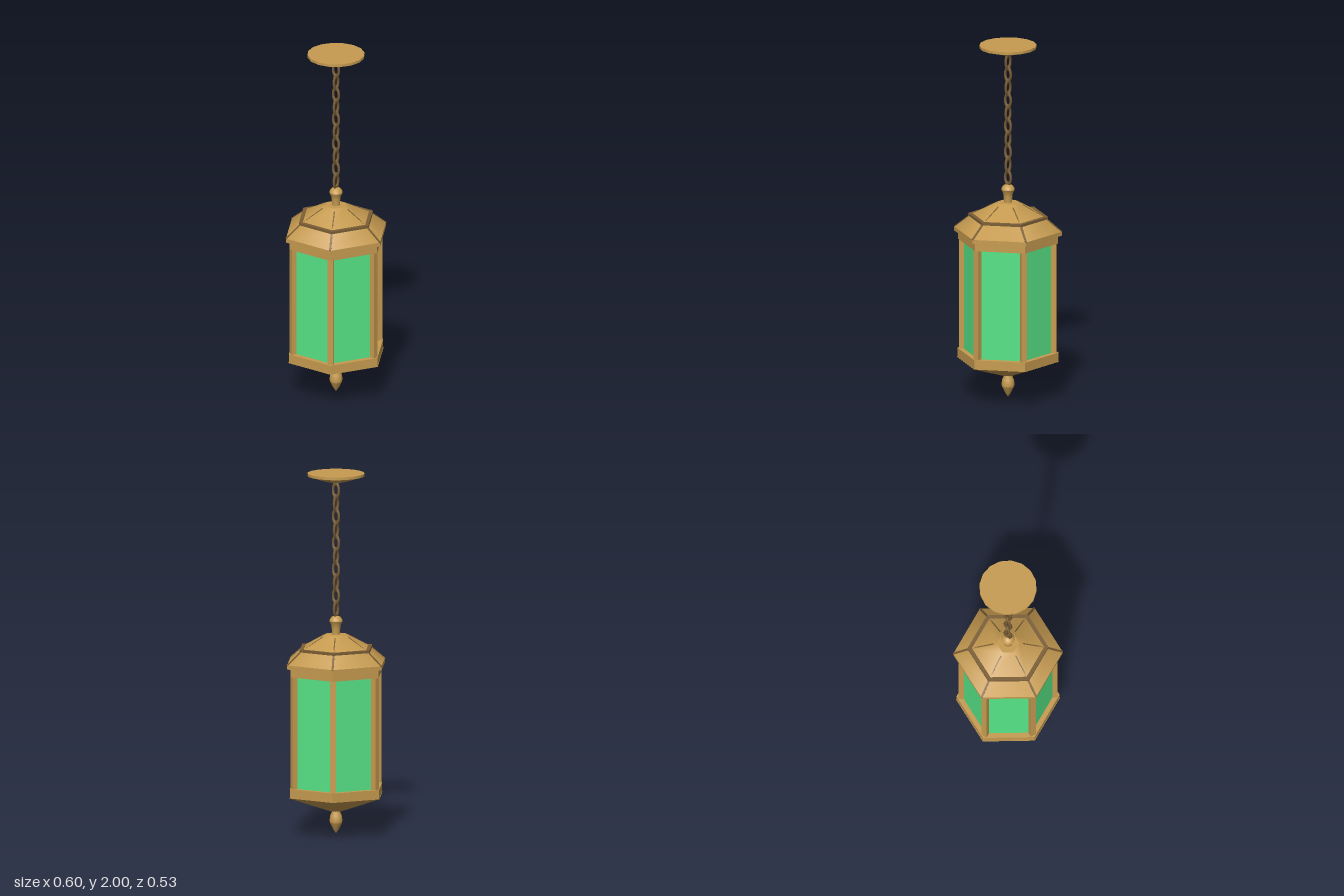
import * as THREE from 'three';

const brass = new THREE.MeshStandardMaterial({ color: 0xc69b50 });
brass.name = 'brass';
const bronze = new THREE.MeshStandardMaterial({ color: 0x7b5e35 });
bronze.name = 'darkBronze';
const glass = new THREE.MeshStandardMaterial({ color: 0x57e587 });
glass.name = 'greenGlass';

function add(parent, name, geometry, material) {
  const mesh = new THREE.Mesh(geometry, material);
  mesh.name = name;
  parent.add(mesh);
  return mesh;
}

// Six-sided frustum with corners on the x axis; flat or smooth sides
function hex(y0, r0, y1, r1, smooth = false) {
  let g = new THREE.CylinderGeometry(r1, r0, y1 - y0, 6);
  g.rotateY(Math.PI / 6).translate(0, (y0 + y1) / 2, 0);
  if (!smooth) {
    g = g.toNonIndexed();
    g.computeVertexNormals();
  }
  return g;
}

function lathe(points, segments = 16) {
  return new THREE.LatheGeometry(points.map(([r, y]) => new THREE.Vector2(r, y)), segments);
}

// Bar running up a roof corner from (r0, y0) to (r1, y1)
function ridge(r0, y0, r1, y1, width, height) {
  const g = new THREE.BoxGeometry(Math.hypot(r1 - r0, y1 - y0), height, width);
  g.rotateZ(Math.atan2(y1 - y0, r1 - r0));
  return g.translate((r0 + r1) / 2, (y0 + y1) / 2, 0);
}

export function createModel() {
  const lantern = new THREE.Group();
  lantern.name = 'hangingLantern';

  // Base
  add(lantern, 'finialTip', lathe([[0, 0], [0.018, 0.026], [0.034, 0.06]]), brass);
  add(lantern, 'finialBulb', lathe([[0.034, 0.06], [0.036, 0.075], [0.032, 0.1], [0.022, 0.122],
    [0.022, 0.14]]), brass);
  add(lantern, 'bottomBowl', hex(0.125, 0.035, 0.213, 0.285, true), brass);
  add(lantern, 'bottomBand', hex(0.213, 0.283, 0.265, 0.283), brass);

  // Glass body
  add(lantern, 'glassPanels', hex(0.26, 0.252, 0.89, 0.252), glass);

  // Roof
  add(lantern, 'topBand', hex(0.885, 0.28, 0.932, 0.28), brass);
  add(lantern, 'eave', hex(0.93, 0.3, 0.953, 0.3), brass);
  add(lantern, 'lowerRoof', hex(0.953, 0.3, 1.022, 0.215, true), brass);
  add(lantern, 'roofTrim', hex(1.02, 0.222, 1.034, 0.222), bronze);
  add(lantern, 'upperRoof', hex(1.034, 0.198, 1.106, 0.062, true), brass);

  // Corner posts and roof ridges
  const corners = new THREE.Group();
  corners.name = 'corners';
  lantern.add(corners);
  const postShape = new THREE.BoxGeometry(0.032, 0.63, 0.032).translate(0.255, 0.575, 0);
  const lowerRidge = ridge(0.297, 0.95, 0.216, 1.016, 0.011, 0.012);
  const upperRidge = ridge(0.19, 1.033, 0.08, 1.094, 0.006, 0.008);
  for (let i = 0; i < 6; i++) {
    const corner = new THREE.Group();
    corner.name = 'corner';
    corner.rotation.y = i * Math.PI / 3;
    add(corner, 'post', postShape, brass);
    add(corner, 'lowerRidge', lowerRidge, bronze);
    add(corner, 'upperRidge', upperRidge, bronze);
    corners.add(corner);
  }

  // Neck that holds the chain
  add(lantern, 'neck', lathe([[0.022, 1.1], [0.024, 1.14], [0.028, 1.16], [0.037, 1.178]]), brass);
  add(lantern, 'neckCap', lathe([[0.037, 1.178], [0.034, 1.19], [0.022, 1.204], [0, 1.21]]), brass);

  // Chain of alternating oval links
  const chain = new THREE.Group();
  chain.name = 'chain';
  lantern.add(chain);
  const linkShape = new THREE.TorusGeometry(0.0195, 0.0075, 6, 16).scale(1, 1.95, 1);
  for (let i = 0; i < 10; i++) {
    const link = add(chain, 'link', linkShape, bronze);
    link.position.y = 1.245 + i * 0.0733;
    link.rotation.y = i % 2 ? 0 : Math.PI / 2;
  }

  // Ceiling canopy
  add(lantern, 'canopyCone', lathe([[0, 1.945], [0.03, 1.949], [0.09, 1.964], [0.157, 1.986]]), brass);
  add(lantern, 'canopyPlate', new THREE.CylinderGeometry(0.158, 0.158, 0.015, 16).translate(0, 1.9925, 0), brass);

  return lantern;
}
